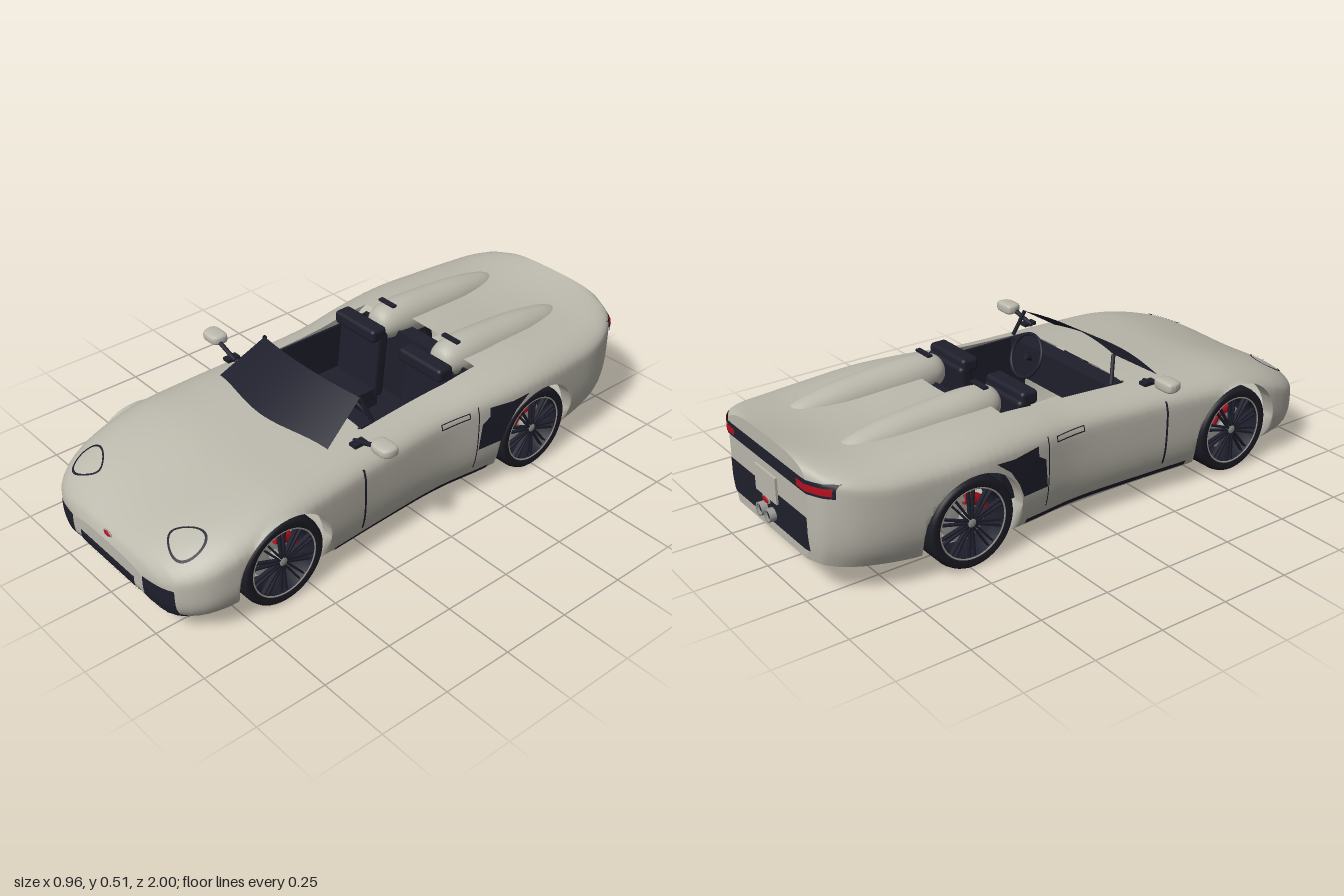
import * as THREE from 'three';
import { RoundedBoxGeometry } from 'three/addons/geometries/RoundedBoxGeometry.js';

const paint = (name, color) => {
  const m = new THREE.MeshStandardMaterial({ color, side: THREE.DoubleSide });
  m.name = name;
  return m;
};
const BODY = paint('warm grey paint', 0xbbb8ac);
const DARK = paint('dark trim', 0x1f1f2d);
const TYRE = paint('tyre rubber', 0x1b1b24);
const RED = paint('signal red', 0xb3101f);
const METAL = paint('metal', 0x9c9c98);

// Body stations: z, half width, underside y, widest y, centre-line top y, fender rise
const STATIONS = [
  [-0.975, 0.25, 0.125, 0.38, 0.452, 0], [-0.95, 0.305, 0.118, 0.375, 0.447, 0.002],
  [-0.9, 0.35, 0.11, 0.365, 0.438, 0.006], [-0.8, 0.39, 0.1, 0.345, 0.426, 0.012],
  [-0.65, 0.41, 0.085, 0.34, 0.422, 0.018], [-0.45, 0.42, 0.07, 0.34, 0.43, 0.016],
  [-0.25, 0.405, 0.064, 0.33, 0.433, 0.01], [-0.08, 0.386, 0.064, 0.32, 0.427, 0.004],
  [0.2, 0.394, 0.064, 0.31, 0.415, 0.002], [0.42, 0.407, 0.064, 0.3, 0.4, 0.006],
  [0.62, 0.414, 0.064, 0.29, 0.375, 0.012], [0.8, 0.408, 0.066, 0.245, 0.324, 0.017],
  [0.88, 0.387, 0.068, 0.215, 0.295, 0.015], [0.93, 0.355, 0.073, 0.2, 0.272, 0.01],
  [0.965, 0.312, 0.085, 0.19, 0.25, 0.005], [0.985, 0.255, 0.108, 0.18, 0.229, 0.002],
  [0.995, 0.19, 0.132, 0.17, 0.206, 0],
];
const spline = new THREE.CubicInterpolant(
  STATIONS.map(s => s[0]), STATIONS.flatMap(s => s.slice(1)), 5);
const station = z => {
  const [w, yb, ym, yt, f] = spline.evaluate(z);
  return { w, yb, ym, yt, f };
};
const ZR = -0.975, ZF = 0.995, AXLES = [-0.49, 0.61], ARCH = 0.18, HUB = 0.155;
const DASH = 0.2, SEAT_EDGE = -0.3, NOTCH = -0.355;

const topY = (x, z) => {
  const { w, ym, yt, f } = station(z), u = Math.min(1, Math.abs(x) / w);
  return ym + (yt - ym) * Math.cbrt(1 - u ** 3) + f * 4 * u * u * (1 - u * u);
};
const sideX = (y, z) => {
  const { w, yb, ym, yt } = station(z);
  if (y < yb - 1e-6 || y > yt) return -1;
  return y > ym ? w * Math.cbrt(1 - ((y - ym) / (yt - ym)) ** 3)
    : w * (1 - 0.12 * ((ym - y) / (ym - yb)) ** 4);
};
// z of the nose (dir 1) or tail (dir -1) skin at a given x, y
const endZ = (x, y, dir) => {
  let a = 0.75 * dir, b = dir > 0 ? ZF : ZR;
  if (sideX(y, b) >= Math.abs(x)) return b;
  for (let k = 0; k < 24; k++) {
    const m = (a + b) / 2;
    if (sideX(y, m) >= Math.abs(x)) a = m; else b = m;
  }
  return a;
};
const archY = z => {
  for (const c of AXLES) if (Math.abs(z - c) < ARCH) return HUB + Math.sqrt(ARCH ** 2 - (z - c) ** 2);
  return -1;
};
// Rows next to an arch follow its circle inwards below the hub
const archZ = (y, z) => {
  const c = AXLES.find(a => Math.abs(Math.abs(z - a) - 0.1805) < 1e-6);
  return c === undefined || y >= HUB ? z : c + Math.sign(z - c) * Math.sqrt(ARCH ** 2 - (HUB - y) ** 2);
};

// Surface from a grid of points; faces up when rows run to +z and columns to +x
function grid(rows, cols, point, skip = () => false, flip = false) {
  const pos = [], idx = [];
  for (let i = 0; i <= rows; i++) for (let j = 0; j <= cols; j++) pos.push(...point(i, j));
  for (let i = 0; i < rows; i++) for (let j = 0; j < cols; j++) {
    if (skip(i, j)) continue;
    const a = i * (cols + 1) + j, b = a + 1, c = a + cols + 1, d = c + 1;
    idx.push(...(flip ? [a, b, c, b, d, c] : [a, c, b, b, c, d]));
  }
  const g = new THREE.BufferGeometry();
  g.setAttribute('position', new THREE.Float32BufferAttribute(pos, 3));
  g.setIndex(idx);
  g.computeVertexNormals();
  return g;
}

export function createModel() {
  const car = new THREE.Group();
  car.name = 'roadster';
  const add = (name, geo, mat, x = 0, y = 0, z = 0, parent = car) => {
    const m = new THREE.Mesh(geo, mat);
    m.name = name;
    m.position.set(x, y, z);
    parent.add(m);
    return m;
  };
  const box = (name, w, h, d, mat, x, y, z, parent) => add(name, new THREE.BoxGeometry(w, h, d), mat, x, y, z, parent);

  // Body skin with open cockpit and wheel arches
  const zs = [ZR, ZF, DASH, SEAT_EDGE, NOTCH];
  for (let k = 0; k <= 60; k++) zs.push(ZR + (ZF - ZR) * k / 60);
  for (const z of [-0.965, -0.955, 0.955, 0.975, 0.981, 0.985, 0.99]) zs.push(z);
  for (const c of AXLES) {
    for (let k = 0; k <= 24; k++) zs.push(c + 0.1799 * Math.cos(Math.PI * k / 24));
    zs.push(c - 0.1805, c + 0.1805);
  }
  zs.sort((a, b) => a - b);
  const D = 8, S = 10, L = 8, N = D + S + L;
  const section = (z, j) => {
    const s = station(z), k = Math.abs(j), sign = Math.sign(j), xs = Math.min(0.275, 0.7 * s.w);
    let x, y;
    if (k <= D) { x = xs * k / D; y = topY(x, z); }
    else if (k <= D + S) {
      const a = Math.acos((xs / s.w) ** 1.5) * (1 - (k - D) / S);
      x = s.w * Math.cos(a) ** (2 / 3); y = topY(x, z);
    } else { y = s.ym + (s.yb - s.ym) * (k - D - S) / L; x = sideX(y, z); }
    return [sign * x, Math.max(y, archY(z)), archZ(y, z)];
  };
  const inCockpit = (i, j) => {
    const k = j < N ? N - 1 - j : j - N;
    return k < D && zs[i] >= (k < 3 ? NOTCH : SEAT_EDGE) - 1e-9 && zs[i + 1] <= DASH + 1e-9;
  };
  add('bodyShell', grid(zs.length - 1, 2 * N, (i, j) => section(zs[i], j - N), inCockpit), BODY);
  for (const [name, z] of [['noseCap', ZF], ['tailCap', ZR]])
    add(name, grid(N, 1, (i, j) => section(z, j ? i : -i), undefined, z < 0), BODY);
  add('underside', grid(zs.length - 1, 2, (i, j) => {
    const z = zs[i], yb = station(z).yb;
    return [(j - 1) * (archY(z) > 0 ? 0.25 : sideX(yb, z)), yb, archZ(yb, z)];
  }, undefined, true), BODY);
  for (const x of [-0.12, -0.04, 0.04, 0.12]) box('floorVent', 0.014, 0.006, 0.1, DARK, x, 0.068, -0.42);

  // Thin panels that follow the nose, tail and flanks
  const endPanel = (name, mat, x0, x1, y0, y1, dir, lift = 0.003) =>
    add(name, grid(6, 24, (i, j) => {
      const x = x0 + (x1 - x0) * j / 24, y = y1 + (y0 - y1) * i / 6;
      return [x * (1 + lift), y, endZ(x, y, dir) + dir * lift];
    }, undefined, dir < 0), mat);
  const sidePanel = (name, mat, z0, z1, y0, y1, s, lift = 0.003) =>
    add(name, grid(8, 12, (i, j) => {
      const y = y0 + (y1 - y0) * i / 8, z = z0 + (z1 - z0) * j / 12;
      return [s * (sideX(y, z) + lift), y, z];
    }, undefined, s > 0), mat);

  endPanel('centreGrille', DARK, -0.15, 0.15, 0.1, 0.16, 1);
  endPanel('grilleBar', METAL, -0.14, 0.14, 0.102, 0.105, 1, 0.006);
  endPanel('frontLip', DARK, -0.33, 0.33, 0.081, 0.093, 1);
  endPanel('tailBand', DARK, -0.335, 0.335, 0.357, 0.402, -1);
  endPanel('rearDiffuser', DARK, -0.245, 0.245, 0.16, 0.275, -1);
  box('numberPlate', 0.135, 0.09, 0.008, BODY, 0, 0.285, -0.981);
  const oval = (name, mat, rx, ry, y, z) =>
    add(name, new THREE.SphereGeometry(1, 20, 12), mat, 0, y, z).scale.set(rx, ry, 0.004);
  oval('noseBadgeRim', METAL, 0.024, 0.01, 0.23, 0.986);
  oval('noseBadge', RED, 0.017, 0.009, 0.23, 0.989);
  oval('tailBadgeRim', METAL, 0.026, 0.014, 0.232, -0.985);
  oval('tailBadge', RED, 0.019, 0.01, 0.232, -0.988);

  for (const s of [-1, 1]) {
    endPanel('cornerIntake', DARK, s > 0 ? 0.195 : -0.317, s > 0 ? 0.317 : -0.195, 0.09, 0.19, 1, 0.002);
    endPanel('tailLamp', RED, s > 0 ? 0.2 : -0.33, s > 0 ? 0.33 : -0.2, 0.367, 0.391, -1, 0.006);
    sidePanel('frontDoorGap', DARK, 0.286, 0.294, 0.12, 0.38, s);
    sidePanel('rearDoorGap', DARK, -0.207, -0.203, 0.12, 0.37, s);
    sidePanel('sillStrip', DARK, -0.28, 0.4, 0.077, 0.097, s, 0.005);
    for (const [z0, z1, y0, y1] of [[-0.17, -0.05, 0.34, 0.344], [-0.17, -0.05, 0.358, 0.361],
      [-0.17, -0.166, 0.34, 0.361], [-0.054, -0.05, 0.34, 0.361]])
      sidePanel('doorHandleLine', DARK, z0, z1, y0, y1, s);

    // Side intake ahead of the rear wheel
    const edge = [[-0.21, 0.2], [-0.31, 0.2], [-0.33, 0.25], [-0.365, 0.305], [-0.42, 0.35],
      [-0.35, 0.345], [-0.25, 0.355], [-0.25, 0.32], [-0.22, 0.3]];
    const g = new THREE.ShapeGeometry(new THREE.Shape(edge.map(p => new THREE.Vector2(...p))));
    const p = g.attributes.position;
    for (let i = 0; i < p.count; i++) {
      const z = p.getX(i), y = p.getY(i);
      p.setXYZ(i, s * (sideX(y, z) + 0.004), y, z);
    }
    g.computeVertexNormals();
    add('sideIntake', g, DARK);

    // Teardrop headlight outline laid on the fender
    add('headlightOutline', grid(40, 1, (i, j) => {
      const a = i / 40 * Math.PI * 2, r = j ? 1 : 0.88;
      const dx = 0.066 * r * Math.cos(a), dz = 0.052 * r * Math.sin(a) * (1 + 0.35 * Math.cos(a));
      const x = 0.262 + dx, z = 0.878 + dz - dx * 0.1;
      return [s * x, topY(x, z) + 0.003, z];
    }, undefined, s > 0), DARK);

    // Headrest fairing
    const prof = [[0, 0.268], [0.035, 0.26], [0.056, 0.235], [0.067, 0.19], [0.072, 0.12], [0.071, 0.02],
      [0.067, -0.11], [0.058, -0.2], [0.046, -0.27], [0.028, -0.312], [0, -0.322]].reverse();
    const fairing = new THREE.LatheGeometry(
      new THREE.SplineCurve(prof.map(q => new THREE.Vector2(...q))).getPoints(40).map(q => q.set(Math.max(0, q.x), q.y)), 28);
    fairing.rotateX(Math.PI / 2);
    add('headrestFairing', fairing, BODY, s * 0.16, 0.41, -0.5).rotation.x = -0.05;
    box('fairingSlot', 0.075, 0.008, 0.018, DARK, s * 0.16, 0.489, -0.3);

    // Seat
    box('seatCushion', 0.2, 0.07, 0.2, DARK, s * 0.165, 0.2, -0.07);
    add('seatBack', new RoundedBoxGeometry(0.205, 0.25, 0.05, 3, 0.015), DARK, s * 0.165, 0.32, -0.185).rotation.x = -0.1;
    add('seatHeadrest', new RoundedBoxGeometry(0.205, 0.05, 0.065, 3, 0.014), DARK, s * 0.165, 0.445, -0.178);

    // Door mirror
    const arm = new THREE.LineCurve3(new THREE.Vector3(s * 0.31, 0.408, 0.26), new THREE.Vector3(s * 0.42, 0.44, 0.255));
    add('mirrorArm', new THREE.TubeGeometry(arm, 1, 0.008, 8), DARK);
    box('mirrorFoot', 0.03, 0.012, 0.05, DARK, s * 0.33, 0.408, 0.26);
    const head = new THREE.SphereGeometry(1, 24, 16);
    const hp = head.attributes.position;
    for (let i = 0; i < hp.count; i++) {
      const q = v => Math.sign(v) * Math.abs(v) ** 0.55;
      hp.setXYZ(i, 0.044 * q(hp.getX(i)), 0.02 * q(hp.getY(i)), hp.getZ(i) > 0 ? 0.038 * hp.getZ(i) : 0.026 * q(hp.getZ(i)));
    }
    head.computeVertexNormals();
    add('mirrorHead', head, BODY, s * 0.438, 0.442, 0.245);

    // Exhaust pipe
    const pipe = new THREE.LatheGeometry([[0.018, 0], [0.022, 0], [0.022, 0.06], [0.018, 0.06]].map(q => new THREE.Vector2(...q)), 20);
    add('exhaustPipe', pipe.rotateX(Math.PI / 2), METAL, s * 0.027, 0.19, -1.0);
    add('exhaustBore', new THREE.CircleGeometry(0.019, 20).rotateY(Math.PI), DARK, s * 0.027, 0.19, -0.99);
    box('tubSide', 0.008, 0.28, 0.5, DARK, s * 0.274, 0.26, -0.05);
    const strut = new THREE.LineCurve3(new THREE.Vector3(s * 0.245, 0.5, 0.18), new THREE.Vector3(s * 0.272, 0.41, 0.15));
    add('windshieldStrut', new THREE.TubeGeometry(strut, 1, 0.007, 6), DARK);
  }

  // Cockpit tub, dash and steering wheel
  box('tubFloor', 0.55, 0.008, 0.5, DARK, 0, 0.12, -0.05);
  box('tubRear', 0.55, 0.28, 0.008, DARK, 0, 0.264, -0.299);
  box('rearShelf', 0.21, 0.04, 0.06, DARK, 0, 0.38, -0.328);
  box('dashboard', 0.54, 0.13, 0.07, DARK, 0, 0.34, 0.172);
  add('steeringWheel', new THREE.TorusGeometry(0.078, 0.006, 8, 32), DARK, 0.155, 0.375, 0.12).rotation.x = 0.42;
  add('steeringColumn', new THREE.CylinderGeometry(0.012, 0.012, 0.06, 10).rotateX(Math.PI / 2), DARK, 0.155, 0.36, 0.145).rotation.x = 0.42;

  // Windshield, curved in plan
  add('windshield', grid(6, 24, (i, j) => {
    const u = j / 12 - 1, v = 1 - i / 6;
    return [u * (0.283 - 0.038 * v), 0.402 + 0.098 * v + 0.01 * (1 - u * u) * v - 0.008 * u * u * (1 - v),
      (0.39 - 0.04 * u * u) * (1 - v) + (0.205 - 0.025 * u * u) * v];
  }), DARK);

  // Wheels, outer face toward +x
  for (const z of AXLES) for (const s of [-1, 1]) {
    const wheel = new THREE.Group();
    wheel.name = 'wheel';
    wheel.position.set(s * 0.335, HUB, z);
    wheel.rotation.y = s > 0 ? 0 : Math.PI;
    car.add(wheel);
    const lathe = (name, pts, mat, seg = 48) =>
      add(name, new THREE.LatheGeometry(pts.map(q => new THREE.Vector2(...q)), seg).rotateZ(-Math.PI / 2), mat, 0, 0, 0, wheel);
    lathe('tyre', [[0.122, -0.058], [0.142, -0.062], [0.151, -0.056], [0.155, -0.042], [0.155, 0.042],
      [0.151, 0.056], [0.142, 0.062], [0.122, 0.058]], TYRE);
    lathe('rimBarrel', [[0.118, -0.058], [0.114, 0], [0.118, 0.056], [0.124, 0.058]], DARK);
    lathe('rimEdge', [[0.117, 0.057], [0.12, 0.06], [0.123, 0.058]], METAL);
    lathe('brakeDisc', [[0.02, 0.004], [0.082, 0.004], [0.082, -0.006], [0.02, -0.006]], METAL, 32);
    lathe('hub', [[0, 0.052], [0.014, 0.052], [0.018, 0.046], [0.018, -0.02]], METAL, 20);
    // Caliper sits high, on the side facing the doors
    const start = (z > 0) === (s > 0) ? 0.3 : Math.PI - 1.7;
    add('caliper', new THREE.TorusGeometry(0.07, 0.019, 8, 14, 1.4).rotateZ(start).rotateY(Math.PI / 2), RED, 0.012, 0, 0, wheel);
    for (let k = 0; k < 10; k++) {
      const spoke = new THREE.Group();
      spoke.name = 'spoke';
      spoke.rotation.x = k * Math.PI / 5;
      wheel.add(spoke);
      for (const t of [-1, 1]) box('spokeBar', 0.014, 0.105, 0.006, DARK, 0.044, 0.065, t * 0.007, spoke).rotation.x = t * 0.06;
    }
  }
  return car;
}
